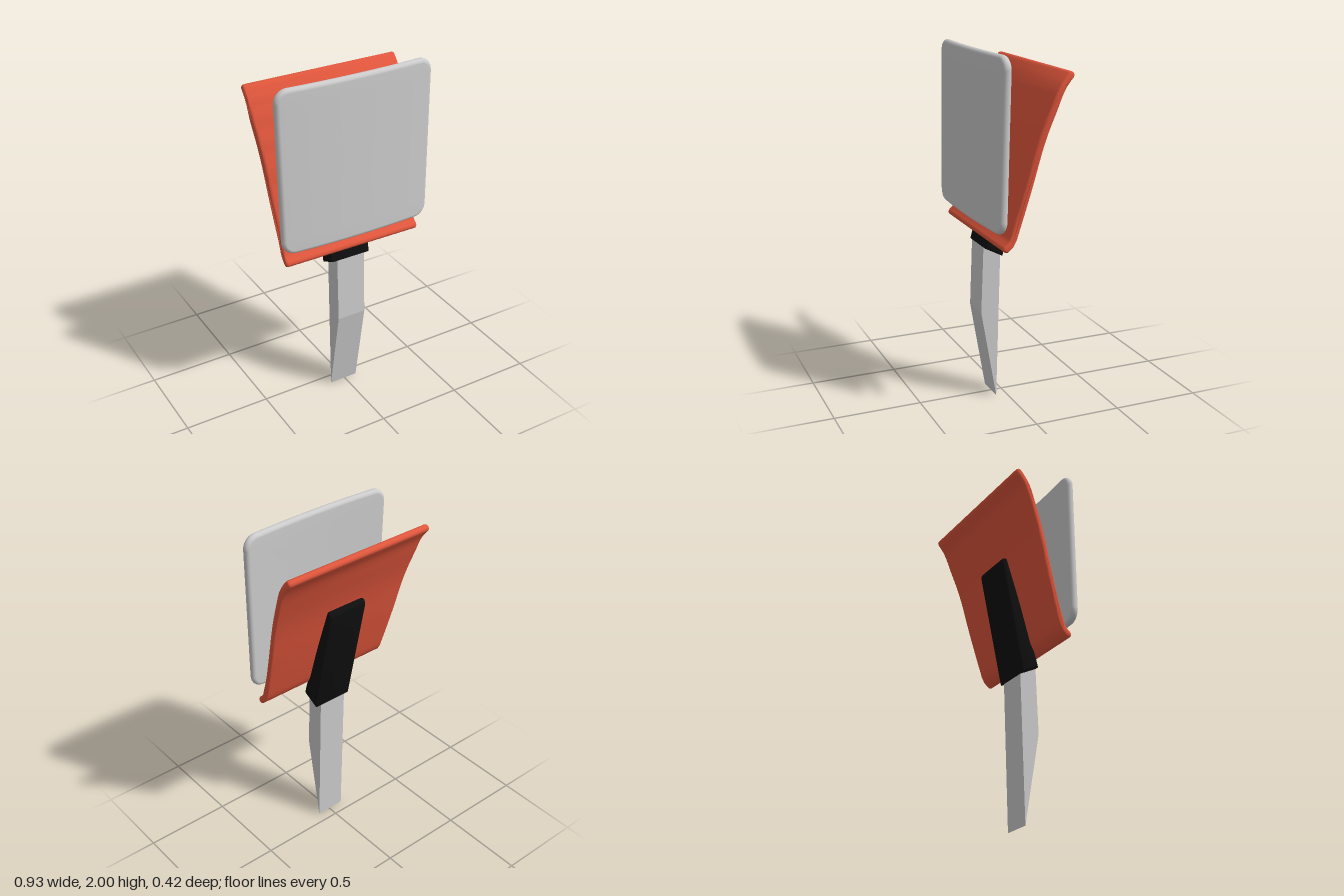
import * as THREE from 'three';
import { mergeVertices, toCreasedNormals } from 'three/addons/utils/BufferGeometryUtils.js';
import { ParametricGeometry } from 'three/addons/geometries/ParametricGeometry.js';

const grey = new THREE.MeshStandardMaterial({ color: 0xcccccc });
const orange = new THREE.MeshStandardMaterial({ color: 0xe0563c });
const black = new THREE.MeshStandardMaterial({ color: 0x0e0e0e });

// Extrude a side profile of [z, y] points across x, with edges rounded by bevel
function sideExtrude(points, width, bevel) {
  const shape = new THREE.Shape(points.map(([z, y]) => new THREE.Vector2(z, y)));
  const depth = width - 2 * bevel;
  const geo = new THREE.ExtrudeGeometry(shape, {
    depth, bevelEnabled: bevel > 0, bevelSize: bevel, bevelThickness: bevel,
    bevelOffset: -bevel, bevelSegments: 4, curveSegments: 8,
  });
  return geo.translate(0, 0, -depth / 2).rotateY(-Math.PI / 2);
}

// Closed outline of a strip with round ends along a [z, y] centre line
function stripOutline(centre, half) {
  const curve = new THREE.SplineCurve(centre.map(([z, y]) => new THREE.Vector2(z, y)));
  const n = 32, right = [], left = [], top = [], bottom = [];
  for (let i = 0; i <= n; i++) {
    const p = curve.getPointAt(i / n), t = curve.getTangentAt(i / n);
    right.push([p.x + t.y * half, p.y - t.x * half]);
    left.unshift([p.x - t.y * half, p.y + t.x * half]);
    if (i > 0 && i < n) continue;
    for (let k = 1; k < 8; k++) {
      const a = (k / 8) * Math.PI, s = i ? 1 : -1;
      const side = s * half * Math.cos(a), along = s * half * Math.sin(a);
      (i ? top : bottom).push([p.x + t.y * side + t.x * along, p.y - t.x * side + t.y * along]);
    }
  }
  return [...right, ...top, ...left, ...bottom];
}

// Point on a rounded rectangle, shrunk by inset; u runs once around
function roundedRect(u, w, h, r, inset) {
  const per = 16, total = per * 4;
  const i = Math.round(u * total) % total;
  const quad = Math.floor(i / per), k = i % per;
  const sx = [1, -1, -1, 1][quad], sy = [1, 1, -1, -1][quad];
  const cx = sx * (w - r), cy = sy * (h - r), rr = r - inset;
  // nine points turn the corner, the rest run along the next edge
  const a = (quad + Math.min(k, 8) / 8) * Math.PI / 2;
  const f = Math.max(k - 8, 0) / 8;
  const ex = quad % 2 ? 0 : -sx * 2 * (w - r), ey = quad % 2 ? -sy * 2 * (h - r) : 0;
  return [cx + rr * Math.cos(a) + f * ex, cy + rr * Math.sin(a) + f * ey];
}

// Cushion-edged panel, bowed forward in the middle and leaning slightly
function panelGeometry() {
  const W = 0.465, H = 0.465, R = 0.075, E = 0.0225;
  const rings = 6, arc = 8, stacks = rings * 2 + arc;
  const geo = new ParametricGeometry((u, v, target) => {
    const i = Math.round(v * stacks);
    let scale = 1, inset = E, z = -E;
    if (i < rings) scale = i / rings;
    else if (i > rings + arc) { scale = (stacks - i) / rings; z = E; }
    else {
      const a = ((i - rings) / arc - 0.5) * Math.PI;
      z = E * Math.sin(a);
      inset = E * (1 - Math.cos(a));
    }
    const [x, y] = roundedRect(u, W, H, R, inset).map((c) => c * scale);
    const drop = (H - y) / (2 * H);
    target.set(x * (1 - 0.03 * drop), y + 1.535, z + 0.172 + 0.019 * drop - 0.02 * (x / W) ** 2);
  }, 64, stacks);
  geo.deleteAttribute('uv');
  geo.deleteAttribute('normal');
  const merged = mergeVertices(geo, 1e-5);
  merged.computeVertexNormals();
  return merged;
}

// Back plate: curled strip that widens toward the top
function backPlateGeometry() {
  const centre = [[0.142, 0.99], [0.118, 1.012], [0.1, 1.05], [0.028, 1.3],
    [-0.039, 1.55], [-0.108, 1.74], [-0.148, 1.83], [-0.192, 1.888]];
  const geo = sideExtrude(stripOutline(centre, 0.02), 2, 0.014);
  const pos = geo.attributes.position;
  for (let i = 0; i < pos.count; i++) {
    const t = THREE.MathUtils.clamp((0.08 - pos.getZ(i)) / 0.2, 0, 1);
    const x = pos.getX(i), half = 0.42 + 0.045 * t;
    // shift the ends instead of scaling, so the rounding keeps its size
    pos.setX(i, x - Math.sign(x) * (1 - half));
  }
  return toCreasedNormals(geo, 0.6);
}

export function createModel() {
  const model = new THREE.Group();
  const add = (name, geo, mat) => {
    const mesh = new THREE.Mesh(geo, mat);
    mesh.name = name;
    model.add(mesh);
    return mesh;
  };

  add('frontPanel', panelGeometry(), grey);
  add('backPlate', backPlateGeometry(), orange);

  // Bracket gripping the back plate, rounded at its upper end
  const bracket = [[0.138, 0.905], [0.037, 0.853], [-0.1, 1.505], [-0.099, 1.52],
    [-0.09, 1.533], [-0.076, 1.537], [-0.066, 1.533], [0.122, 0.965]];
  // outline is clockwise, so reverse it
  const bracketGeo = toCreasedNormals(sideExtrude(bracket.reverse(), 0.245, 0.012), 0.6);
  add('bracket', bracketGeo, black).position.x = -0.006;

  // Pointed stake, its top set inside the bracket
  const stake = [[0.063, 0], [0.037, 0.88], [0.09, 0.93], [0.138, 0.905], [0.153, 0.52]];
  add('stake', sideExtrude(stake, 0.172, 0), grey).position.x = -0.008;

  return model;
}
